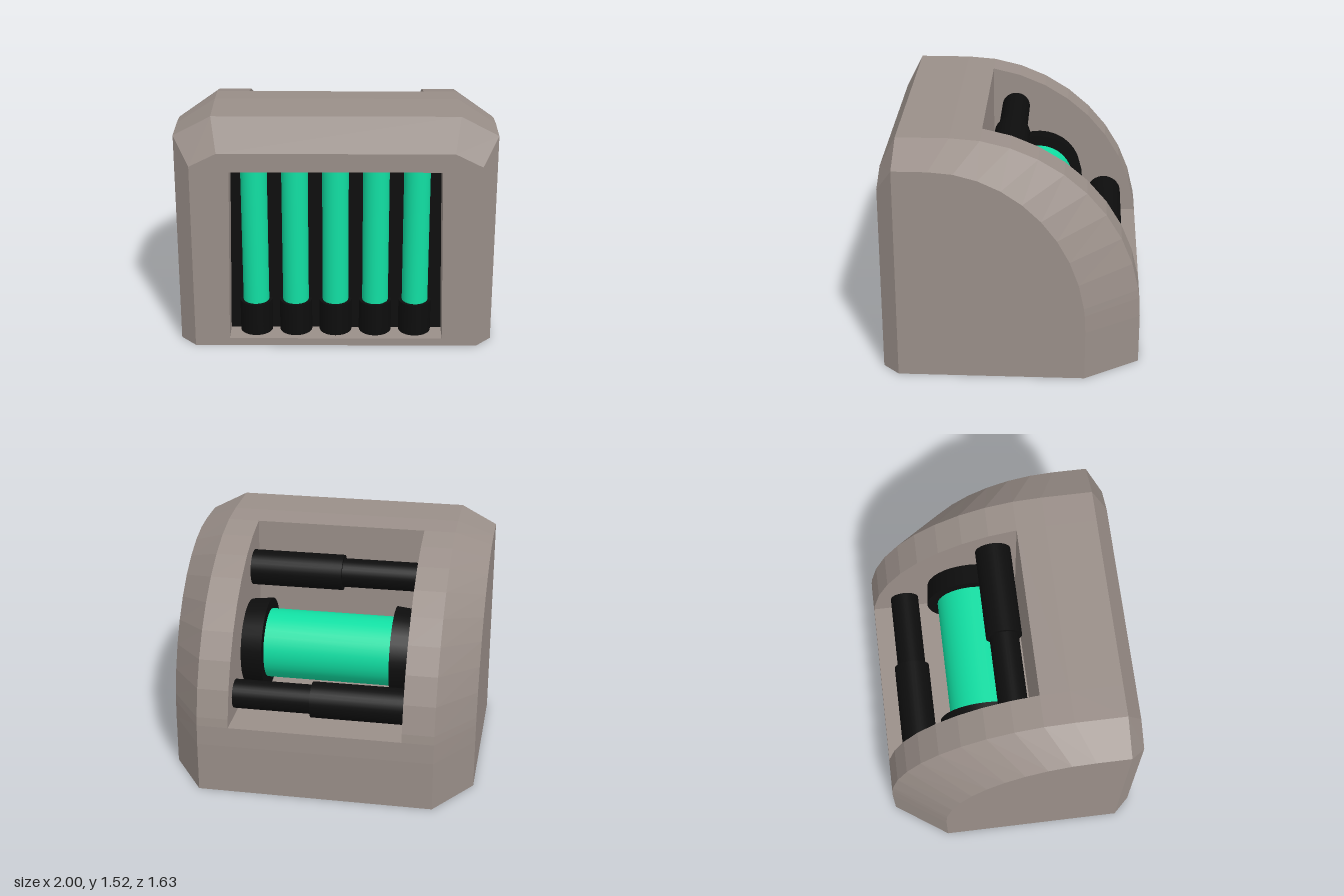
import * as THREE from 'three';

const shellMat = new THREE.MeshStandardMaterial({ color: 0x9a8f89, flatShading: true });
const greenMat = new THREE.MeshStandardMaterial({ color: 0x11dfa3 });
const blackMat = new THREE.MeshStandardMaterial({ color: 0x0d0d0d });

const FRONT = 0.815, RIM = 0.71, SHOULDER = 0.765, BAY = 0.56, BAY_FLOOR = 0.46, RECESS = 0.66;

// Convex polygons become triangle fans, each turned to face along its hint
function polygonMesh(name, polygons) {
  const pos = [];
  const a = new THREE.Vector3(), b = new THREE.Vector3(), n = new THREE.Vector3();
  for (const { points, out } of polygons) {
    n.set(0, 0, 0);
    points.forEach((p, i) => {
      a.set(...p);
      b.set(...points[(i + 1) % points.length]);
      n.add(a.cross(b));
    });
    const loop = n.dot(a.set(...out)) < 0 ? [...points].reverse() : points;
    for (let i = 1; i < loop.length - 1; i++) pos.push(...loop[0], ...loop[i], ...loop[i + 1]);
  }
  const geo = new THREE.BufferGeometry();
  geo.setAttribute('position', new THREE.Float32BufferAttribute(pos, 3));
  geo.computeVertexNormals();
  const mesh = new THREE.Mesh(geo, shellMat);
  mesh.name = name;
  return mesh;
}

function cylinder(name, rTop, rBottom, length, mat, x, y, z, alongX = false) {
  const mesh = new THREE.Mesh(new THREE.CylinderGeometry(rTop, rBottom, length, 32), mat);
  mesh.name = name;
  mesh.position.set(x, y, z);
  if (alongX) mesh.rotation.z = -Math.PI / 2; // top end points to +x
  return mesh;
}

// Side profile: flat top, rounded back, straight drop to the ground, as [y, z]
function profile(top, zc, rz) {
  const yc = 0.33;
  const bayEnd = THREE.MathUtils.radToDeg(Math.acos((BAY_FLOOR - yc) / 1.195));
  const angles = [0, 9, 18, 27, 36, 45, 54, 63, 72, 81, bayEnd, 90];
  const arc = angles.map(d => {
    const t = THREE.MathUtils.degToRad(d);
    return [yc + (top - yc) * Math.cos(t), zc - rz * Math.sin(t)];
  });
  return [[top, RIM], ...arc, [0, zc - rz]];
}

const mid = profile(1.525, 0.38, 1.195);
const side = profile(1.4, 0.49, 0.96);
const BAY_START = 2, BAY_END = 11; // profile rows bounding the rear opening

function createShell() {
  const polys = [];
  const columns = [[-1, side], [-SHOULDER, mid], [-BAY, mid], [BAY, mid], [SHOULDER, mid], [1, side]];
  // roof, back and shoulders, leaving the rear bay open
  for (let c = 0; c < 5; c++) {
    const [x0, p0] = columns[c], [x1, p1] = columns[c + 1];
    for (let i = 0; i < mid.length - 1; i++) {
      if (c === 2 && i >= BAY_START && i < BAY_END) continue;
      const points = [[x0, ...p0[i]], [x1, ...p1[i]], [x1, ...p1[i + 1]], [x0, ...p0[i + 1]]];
      polys.push({ points, out: [(x0 + x1) / 2, points[0][1] - 0.3, points[0][2] - 0.45] });
    }
  }
  // flat sides
  for (const s of [-1, 1]) {
    polys.push({ points: [...side.map(p => [s, ...p]), [s, 0, RIM]], out: [s, 0, 0] });
  }
  // bevel around the front
  const inner = [[-0.9, 0], [-0.9, 1.235], [-0.73, 1.32], [0.73, 1.32], [0.9, 1.235], [0.9, 0]];
  const outer = [[-1, 0], [-1, 1.4], [-SHOULDER, 1.525], [SHOULDER, 1.525], [1, 1.4], [1, 0]];
  for (let i = 0; i < 5; i++) {
    polys.push({
      points: [[...inner[i], FRONT], [...inner[i + 1], FRONT], [...outer[i + 1], RIM], [...outer[i], RIM]],
      out: [0, 0, 1],
    });
  }
  // underside
  polys.push({
    points: [[-0.9, 0, FRONT], [0.9, 0, FRONT], [1, 0, RIM], [1, 0, -0.47], [SHOULDER, 0, -0.815],
      [-SHOULDER, 0, -0.815], [-1, 0, -0.47], [-1, 0, RIM]],
    out: [0, -1, 0],
  });
  return { mesh: polygonMesh('shell', polys), inner };
}

function createRearBay() {
  const bay = new THREE.Group();
  bay.name = 'rearBay';
  const [yTop, zIn] = mid[BAY_START], zOut = mid[BAY_END][1];
  const edge = mid.slice(BAY_START, BAY_END + 1);
  const polys = [
    { points: [[-BAY, BAY_FLOOR, zIn], [BAY, BAY_FLOOR, zIn], [BAY, yTop, zIn], [-BAY, yTop, zIn]], out: [0, 0, -1] },
    { points: [[-BAY, BAY_FLOOR, zIn], [BAY, BAY_FLOOR, zIn], [BAY, BAY_FLOOR, zOut], [-BAY, BAY_FLOOR, zOut]], out: [0, 1, 0] },
  ];
  for (const s of [-1, 1]) {
    polys.push({ points: [[s * BAY, BAY_FLOOR, zIn], ...edge.map(p => [s * BAY, ...p])], out: [-s, 0, 0] });
  }
  bay.add(polygonMesh('bayWalls', polys));

  // large glowing drum between two tapered caps
  bay.add(cylinder('drum', 0.23, 0.23, 0.84, greenMat, 0, 0.77, -0.13, true));
  bay.add(cylinder('leftDrumCap', 0.285, 0.3, 0.14, blackMat, 0.49, 0.77, -0.13, true));
  bay.add(cylinder('rightDrumCap', 0.3, 0.285, 0.14, blackMat, -0.49, 0.77, -0.13, true));

  // stepped rods, mirrored: s is the side of the thick half
  for (const [name, s, y, z] of [['upperRod', 1, 1.24, 0.038], ['lowerRod', -1, 0.6, -0.585]]) {
    bay.add(cylinder(name + 'Thick', 0.117, 0.117, 0.61, blackMat, s * 0.255, y, z, true));
    bay.add(cylinder(name + 'Thin', 0.095, 0.095, 0.51, blackMat, -s * 0.305, y, z, true));
  }
  return bay;
}

function createFront(outline) {
  const front = new THREE.Group();
  front.name = 'front';
  const opening = [[-0.68, 0.05], [0.68, 0.05], [0.655, 1.2], [-0.655, 1.2]];
  const vec = list => list.map(p => new THREE.Vector2(...p));

  // front face with its opening
  const shape = new THREE.Shape(vec(outline));
  shape.holes.push(new THREE.Path(vec(opening)));
  const face = new THREE.Mesh(new THREE.ShapeGeometry(shape), shellMat);
  face.name = 'frontFace';
  face.position.z = FRONT;
  front.add(face);

  // recess walls and dark back panel
  front.add(polygonMesh('recessWalls', opening.map((p, i) => {
    const q = opening[(i + 1) % 4];
    return {
      points: [[...p, FRONT], [...q, FRONT], [...q, RECESS], [...p, RECESS]],
      out: [-(p[0] + q[0]) / 2, 0.625 - (p[1] + q[1]) / 2, 0],
    };
  })));
  const panel = new THREE.Mesh(new THREE.ShapeGeometry(new THREE.Shape(vec(opening))), blackMat);
  panel.name = 'recessPanel';
  panel.position.z = RECESS;
  front.add(panel);

  // row of upright tubes in sockets
  for (let i = -2; i <= 2; i++) {
    const x = i * 0.255 - 0.003;
    front.add(cylinder('tube', 0.083, 0.083, 0.935, greenMat, x, 0.7325, 0.67));
    front.add(cylinder('tubeSocket', 0.104, 0.104, 0.215, blackMat, x, 0.1575, 0.67));
  }
  return front;
}

export function createModel() {
  const model = new THREE.Group();
  model.name = 'generator';
  const { mesh, inner } = createShell();
  model.add(mesh, createFront(inner), createRearBay());
  return model;
}
